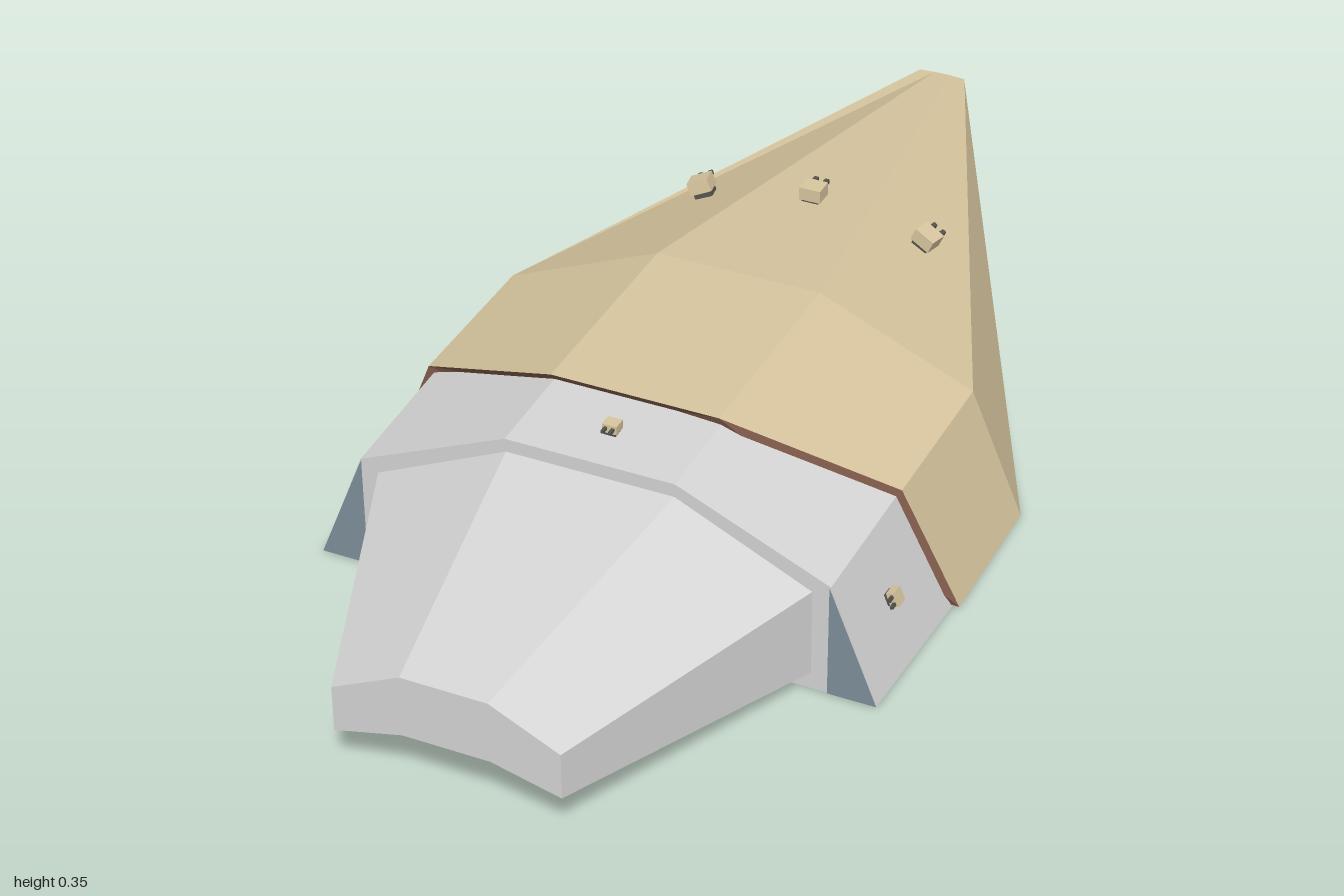
import * as THREE from 'three';

const mat = (name, color, side = THREE.FrontSide) => {
  const m = new THREE.MeshStandardMaterial({ color, side });
  m.name = name;
  return m;
};

// Mirror half a profile (bottom edge to top edge, +x side) into a closed ring.
// Each point is [x, y, z], and the ring runs counter-clockwise seen from the front.
const ring = (half) => [...half, ...half.slice().reverse().map(([x, y, z]) => [-x, y, z])];
const flat = (pts, z) => pts.map(([x, y]) => [x, y, z]);

// Faceted loft through rings ordered from back to front.
// Group 0 holds the sides and back, group 1 the front cap.
function loft(rings) {
  const pos = [];
  const tri = (a, b, c) => pos.push(...a, ...b, ...c);
  const cap = (r, front) => {
    const faces = THREE.ShapeUtils.triangulateShape(r.map(([x, y]) => new THREE.Vector2(x, y)), []);
    for (const [a, b, c] of faces) front ? tri(r[a], r[b], r[c]) : tri(r[a], r[c], r[b]);
  };
  for (let s = 0; s + 1 < rings.length; s++) {
    const A = rings[s], B = rings[s + 1];
    for (let i = 0; i < A.length; i++) {
      const j = (i + 1) % A.length;
      tri(A[i], A[j], B[j]);
      tri(A[i], B[j], B[i]);
    }
  }
  cap(rings[0], false);
  const sides = pos.length / 3;
  cap(rings[rings.length - 1], true);
  const g = new THREE.BufferGeometry();
  g.setAttribute('position', new THREE.Float32BufferAttribute(pos, 3));
  g.addGroup(0, sides, 0);
  g.addGroup(sides, pos.length / 3 - sides, 1);
  g.computeVertexNormals();
  return g;
}

export function createModel() {
  const model = new THREE.Group();
  const tan = mat('tan armour', 0xd9c7a0);
  const grey = mat('light grey hull', 0xd6d6d6);
  const brown = mat('brown rim', 0x8a6250);
  const blue = mat('blue grey panel', 0x7f909b, THREE.DoubleSide);
  const dark = mat('dark gunmetal', 0x55534c);

  const add = (parent, name, geometry, material) => {
    const m = new THREE.Mesh(geometry, material);
    m.name = name;
    parent.add(m);
    return m;
  };

  // Armour shell tapering to a flat tail edge, with a brown rim at the front
  add(model, 'armourShell', loft([
    ring(flat([[0.045, 0.248], [0.045, 0.251], [0.015, 0.253]], -1)),
    ring(flat([[0.525, 0.004], [0.43, 0.23], [0.15, 0.35]], -0.07)),
    ring([[0.525, 0.004, 0.21], [0.43, 0.23, 0.24], [0.15, 0.35, 0.335]]),
  ]), [tan, brown]);

  // Inner hull: shows ahead of the shell and as the belly below it
  add(model, 'hull', loft([
    ring(flat([[0.03, 0.236], [0.03, 0.242], [0.01, 0.245]], -0.97)),
    ring(flat([[0.49, 0], [0.405, 0.21], [0.14, 0.33]], -0.07)),
    ring(flat([[0.512, 0], [0.422, 0.219], [0.15, 0.337]], 0.2)),
    ring(flat([[0.5, 0], [0.418, 0.21], [0.15, 0.328]], 0.5)),
  ]), [grey, grey]);

  // Tapered nose with an arched underside
  add(model, 'nose', loft([
    ring(flat([[0.15, 0.083], [0.39, 0.03], [0.39, 0.192], [0.15, 0.305]], 0.49)),
    ring(flat([[0.075, 0.118], [0.195, 0.088], [0.195, 0.172], [0.075, 0.23]], 1)),
  ]), [grey, grey]);

  // Blue panels on the front corners and under the hull sides
  for (const s of [1, -1]) {
    const corner = new THREE.Shape([[0.415, 0], [0.5, 0], [0.416, 0.21]]
      .map(([x, y]) => new THREE.Vector2(s * x, y)));
    add(model, 'frontCornerPanel', new THREE.ShapeGeometry(corner), blue).position.z = 0.502;
    const strip = add(model, 'undersidePanel', new THREE.BoxGeometry(0.08, 0.004, 0.28), blue);
    strip.position.set(s * 0.457, 0, 0.36);
  }

  // Small twin-barrel fittings; local y is the surface normal, barrels point along local +z
  const fitting = (name, size, position, rotation) => {
    const g = new THREE.Group();
    g.name = name;
    const part = (n, w, h, d, x, y, z, m) =>
      add(g, n, new THREE.BoxGeometry(w, h, d), m).position.set(x, y, z);
    part('mount', 0.8, 0.35, 0.8, 0, 0.1, 0, dark);
    part('body', 1, 0.6, 0.9, 0, 0.5, 0, tan);
    for (const x of [-0.25, 0.25]) part('barrel', 0.2, 0.2, 0.8, x, 0.55, 0.55, dark);
    g.scale.setScalar(size);
    g.position.set(...position);
    g.rotation.set(...rotation, 'ZYX');
    model.add(g);
  };
  fitting('topFrontFitting', 0.026, [0, 0.33, 0.415], [0, 0, 0]);
  for (const s of [1, -1]) {
    fitting('sideFitting', 0.026, [s * 0.461, 0.112, 0.365], [0, 0, -s * 1.2]);
    fitting('rearSideFitting', 0.04, [s * 0.208, 0.276, -0.39], [0, Math.PI - s * 0.2, -s * 0.41]);
  }
  fitting('rearCentreFitting', 0.04, [0, 0.314, -0.39], [0, Math.PI, 0]);

  return model;
}
